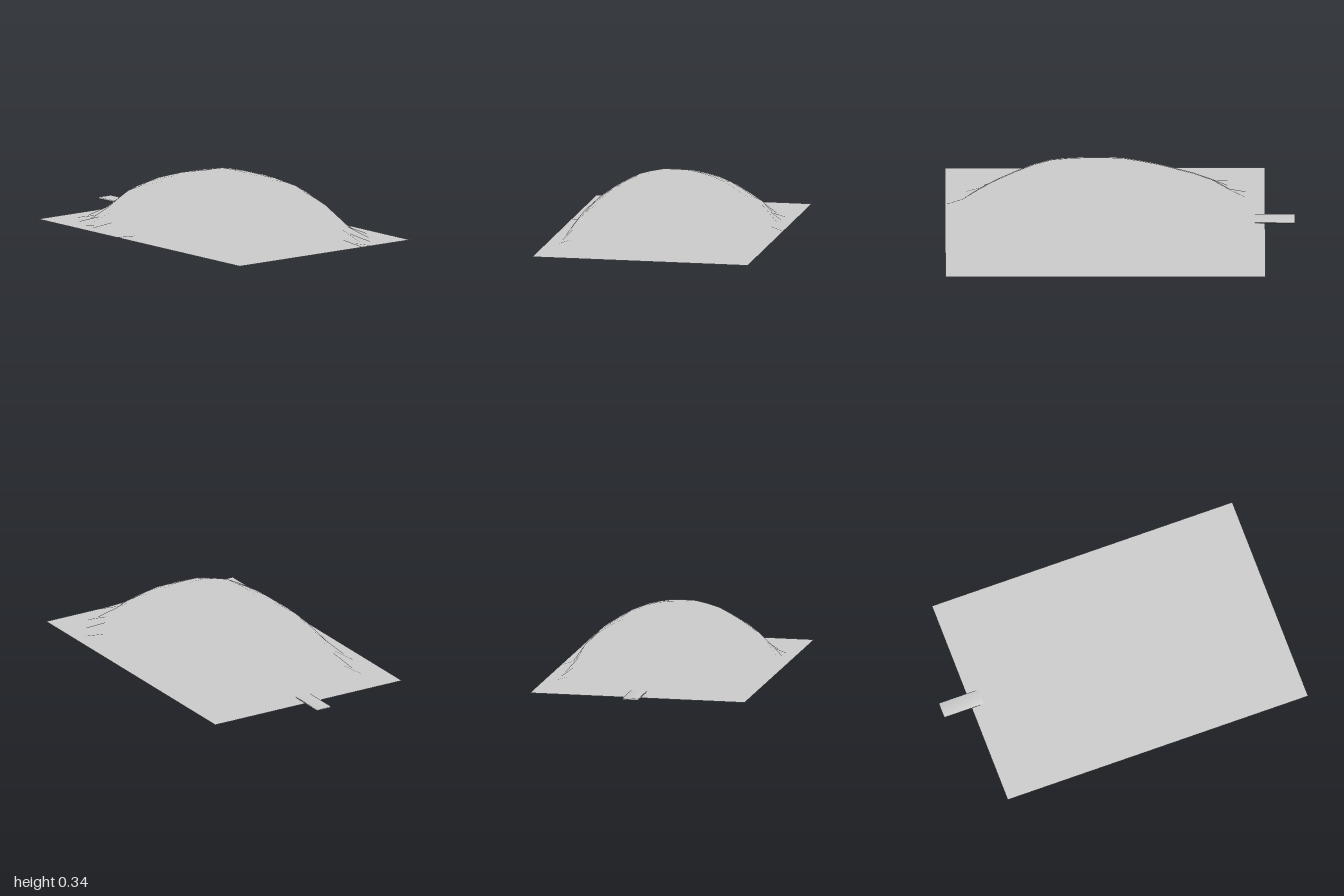
import * as THREE from 'three';
import { mergeVertices } from 'three/addons/utils/BufferGeometryUtils.js';

const PEAK = 0.34;
// Crest heights along x and along z, one per grid line
const alongX = [0, 0.045, 0.13, 0.195, 0.235, 0.265, 0.295, 0.317, 0.336, 0.34,
  0.34, 0.336, 0.326, 0.295, 0.25, 0.2, 0.14, 0.07, 0];
const alongZ = [0, 0.028, 0.125, 0.195, 0.24, 0.28, 0.308, 0.326, 0.338, 0.34,
  0.339, 0.325, 0.305, 0.27, 0.23, 0.18, 0.115, 0.022, 0];

export function createModel() {
  const model = new THREE.Group();
  const material = new THREE.MeshStandardMaterial({ color: 0xcccccc, side: THREE.DoubleSide });

  // Flat sheet raised into a dome; it keeps the sheet's upright normals
  const n = alongX.length;
  const sheet = new THREE.PlaneGeometry(1.82, 1.25, n - 1, n - 1);
  sheet.rotateX(-Math.PI / 2);
  sheet.translate(0.08, 0, 0);
  const pos = sheet.attributes.position;
  for (let row = 0; row < n; row++) {
    for (let col = 0; col < n; col++) {
      pos.setY(row * n + col, Math.max(0, alongX[col] + alongZ[row] - PEAK));
    }
  }
  const dome = new THREE.Mesh(sheet, material);
  dome.name = 'domedSheet';
  model.add(dome);

  // Thin tongue running out from under the dome, with softly shaded edges
  const bar = new THREE.BoxGeometry(0.42, 0.01, 0.09);
  bar.deleteAttribute('normal');
  bar.deleteAttribute('uv');
  const soft = mergeVertices(bar);
  soft.computeVertexNormals();
  const tongue = new THREE.Mesh(soft, material);
  tongue.name = 'tongue';
  tongue.position.set(-0.79, 0.025, -0.004);
  model.add(tongue);

  return model;
}
